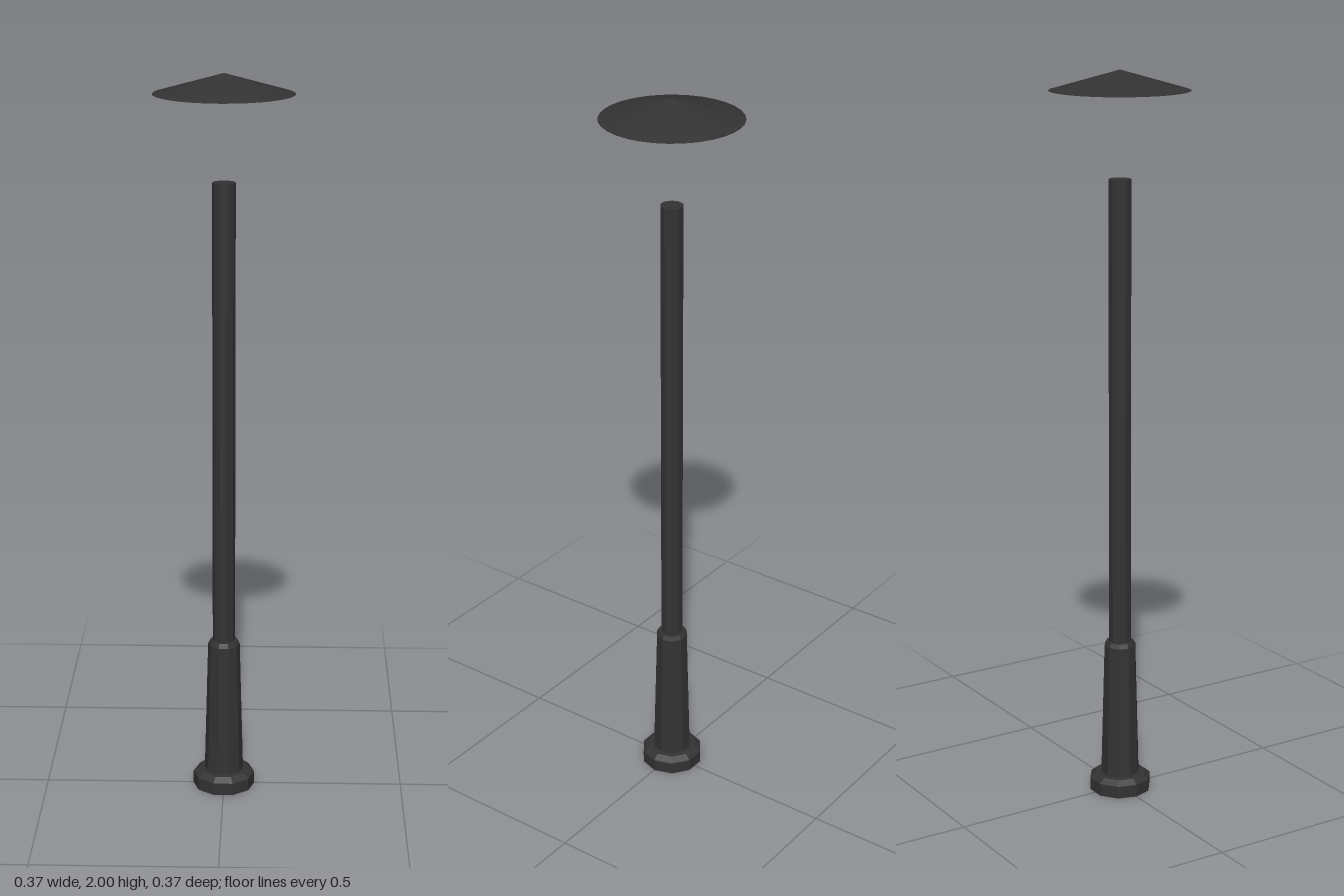
import * as THREE from 'three';

const SIDES = 10;

export function createModel() {
  const model = new THREE.Group();
  model.name = 'streetLamp';
  const metal = new THREE.MeshStandardMaterial({ color: 0x333333, flatShading: true });
  const shadeMetal = new THREE.MeshStandardMaterial({ color: 0x333333, side: THREE.DoubleSide });

  // Ten-sided section between two heights, with a corner on the x axis
  function section(name, y0, y1, r0, r1) {
    const geometry = new THREE.CylinderGeometry(r1, r0, y1 - y0, SIDES);
    geometry.rotateY(Math.PI / 2);
    geometry.translate(0, (y0 + y1) / 2, 0);
    const mesh = new THREE.Mesh(geometry, metal);
    mesh.name = name;
    model.add(mesh);
  }

  // Foot with a bevelled top edge
  section('foot', 0, 0.035, 0.086, 0.086);
  section('footBevel', 0.035, 0.048, 0.086, 0.07);

  // Tapered sleeve with a bevelled rim
  section('sleeve', 0.048, 0.425, 0.054, 0.044);
  section('sleeveBevel', 0.425, 0.437, 0.044, 0.038);

  // Straight pole
  section('pole', 0.437, 1.717, 0.031, 0.031);

  // Floating conical shade, hollow underneath
  const coneGeometry = new THREE.ConeGeometry(0.186, 0.053, 32, 1, true);
  const shade = new THREE.Mesh(coneGeometry, shadeMetal);
  shade.name = 'lampShade';
  shade.position.y = 2 - 0.053 / 2;
  model.add(shade);

  return model;
}
